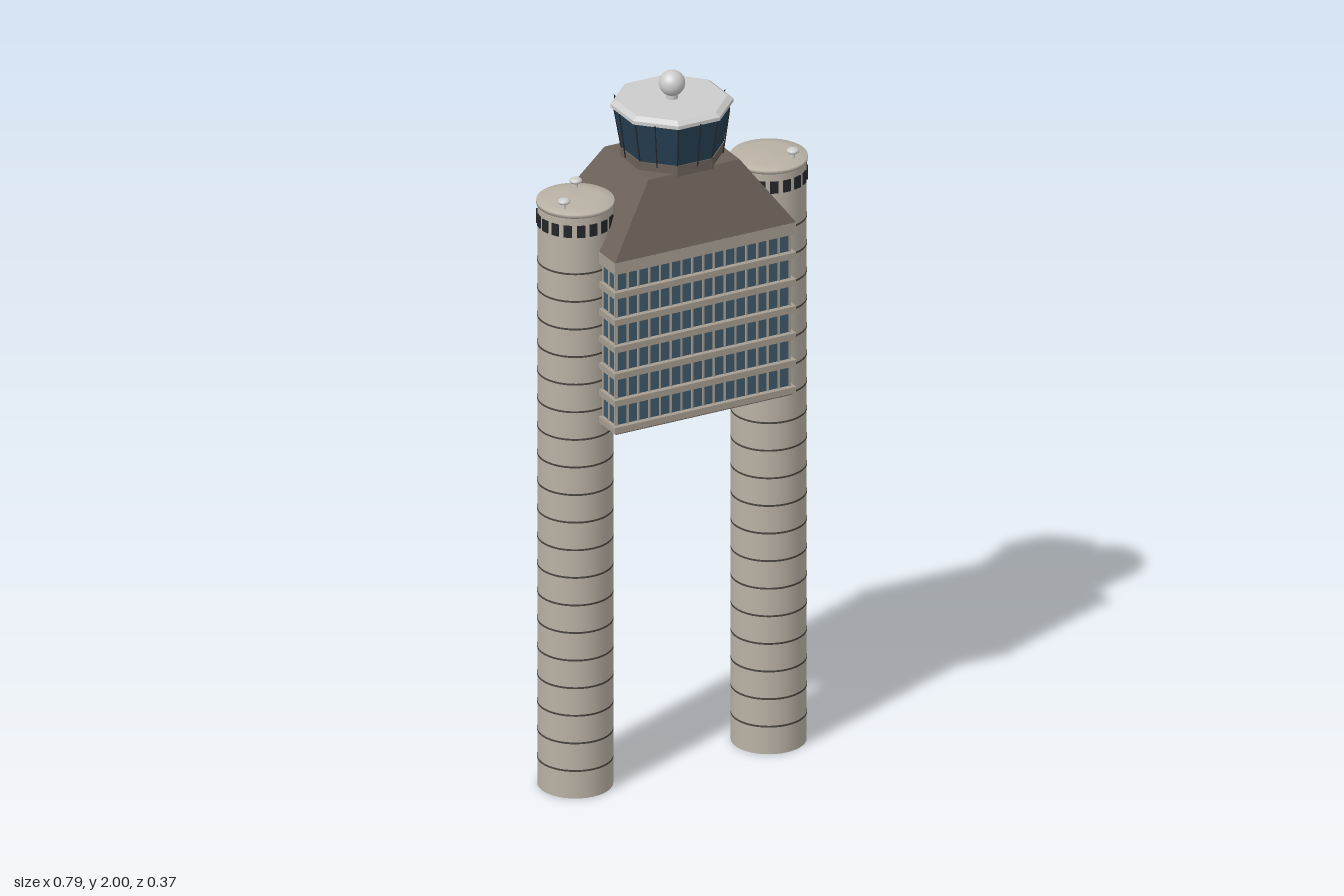
import * as THREE from 'three';

const mat = (color, flat = false) => new THREE.MeshStandardMaterial({ color, flatShading: flat });

export function createModel() {
  const root = new THREE.Group();
  const concrete = mat(0xb9b1a4), trim = mat(0xa59d90), seam = mat(0x4a4640), dark = mat(0x24262a);
  const brown = mat(0x6b6158, true), glass = mat(0x3f586c), cabGlass = mat(0x263f52, true);
  const grey = mat(0xcccccc), greyFlat = mat(0xcccccc, true);

  const add = (name, geo, material, x = 0, y = 0, z = 0, parent = root) => {
    const m = new THREE.Mesh(geo, material);
    m.name = name;
    m.position.set(x, y, z);
    parent.add(m);
    return m;
  };
  const box = (name, w, h, d, material, x, y, z, parent) =>
    add(name, new THREE.BoxGeometry(w, h, d), material, x, y, z, parent);
  // Octagonal frustum measured to its flat sides, from height y0 to y1
  const octagon = (name, bottom, top, y0, y1, material, parent) => {
    const k = 1 / Math.cos(Math.PI / 8);
    const geo = new THREE.CylinderGeometry(top * k, bottom * k, y1 - y0, 8).rotateY(Math.PI / 8);
    return add(name, geo, material, 0, (y0 + y1) / 2, 0, parent);
  };

  // Two round shafts with seams, a ring of windows and a shallow cap
  const R = 0.1;
  const knobs = { '-1': [[-0.258, -0.056], [-0.348, 0.044]], '1': [[0.333, 0.054]] };
  for (const side of [-1, 1]) {
    const shaft = new THREE.Group();
    shaft.name = side > 0 ? 'leftShaft' : 'rightShaft';
    shaft.position.x = side * 0.29;
    root.add(shaft);
    add('shaftWall', new THREE.CylinderGeometry(R, R, 1.69, 40), concrete, 0, 0.845, 0, shaft);
    for (let i = 1; i <= 19; i++) {
      add('shaftSeam', new THREE.CylinderGeometry(R + 0.001, R + 0.001, 0.005, 40), seam, 0, i * 0.08, 0, shaft);
    }
    const cap = [[0, 1.682], [0.103, 1.682], [0.103, 1.692], [0.07, 1.697], [0, 1.7]];
    add('shaftCap', new THREE.LatheGeometry(cap.map(p => new THREE.Vector2(...p)), 40), concrete, 0, 0, 0, shaft);
    const count = 18;
    for (let i = 0; i < count; i++) {
      const a = (i / count) * Math.PI * 2;
      const w = box('shaftWindow', 0.022, 0.034, 0.006, dark, Math.sin(a) * R, 1.643, Math.cos(a) * R, shaft);
      w.rotation.y = a;
    }
    for (const [x, z] of knobs[side]) {
      add('roofKnobStem', new THREE.CylinderGeometry(0.006, 0.006, 0.02, 10), grey, x, 1.704, z);
      add('roofKnob', new THREE.SphereGeometry(0.017, 16, 10).scale(1, 0.5, 1), grey, x, 1.716, z);
    }
  }

  // Office block: glass core, floor slabs and mullions
  const block = new THREE.Group();
  block.name = 'officeBlock';
  root.add(block);
  box('officeGlass', 0.52, 0.47, 0.338, glass, 0, 1.32, 0, block);
  box('underside', 0.53, 0.01, 0.354, brown, 0, 1.079, 0, block);
  for (let i = 0; i < 6; i++) {
    box('floorSlab', 0.544, 0.018, 0.368, trim, 0, 1.089 + i * 0.078, 0, block);
  }
  box('topSlab', 0.544, 0.034, 0.368, trim, 0, 1.558, 0, block);
  const nx = 16, nz = 10;
  for (const s of [-1, 1]) {
    for (let i = 0; i <= nx; i++) {
      box('mullion', 0.005, 0.47, 0.006, trim, -0.259 + (0.518 * i) / nx, 1.32, s * 0.17, block);
    }
    for (let i = 0; i <= nz; i++) {
      box('mullion', 0.006, 0.47, 0.005, trim, s * 0.261, 1.32, -0.168 + (0.336 * i) / nz, block);
    }
  }

  // Sloping roof: a box whose top corners are drawn inward
  const roofGeo = new THREE.BoxGeometry(0.544, 0.187, 0.368);
  const p = roofGeo.attributes.position;
  for (let i = 0; i < p.count; i++) {
    if (p.getY(i) > 0) {
      p.setX(i, Math.sign(p.getX(i)) * 0.137);
      p.setZ(i, Math.sign(p.getZ(i)) * 0.12);
    }
  }
  roofGeo.computeVertexNormals();
  add('slopingRoof', roofGeo, brown, 0, 1.668, 0);

  // Control cab with outward-leaning glass
  const cab = new THREE.Group();
  cab.name = 'controlCab';
  root.add(cab);
  octagon('cabBase', 0.127, 0.127, 1.755, 1.785, brown, cab);
  octagon('cabWindows', 0.124, 0.143, 1.785, 1.905, cabGlass, cab);
  octagon('cabRoofEdge', 0.15, 0.15, 1.902, 1.912, greyFlat, cab);
  octagon('cabRoof', 0.15, 0.136, 1.912, 1.922, greyFlat, cab);

  // Thin rod between two points given as radius and height, at angle a
  const rod = (name, a, r0, y0, r1, y1, thick, material) => {
    const at = (r, y) => new THREE.Vector3(Math.sin(a) * r, y, Math.cos(a) * r);
    const path = new THREE.LineCurve3(at(r0, y0), at(r1, y1));
    add(name, new THREE.TubeGeometry(path, 1, thick, 6), material, 0, 0, 0, cab);
  };
  const k = 1 / Math.cos(Math.PI / 8);
  for (let i = 0; i < 8; i++) {
    const a = (i * Math.PI) / 4;
    rod('cabMullion', a + Math.PI / 8, 0.124 * k, 1.785, 0.143 * k, 1.905, 0.002, dark);
    rod('cabStrut', a, 0.14, 1.78, 0.158, 1.91, 0.0018, dark);
  }

  // Radar ball on a short post
  add('radarPost', new THREE.CylinderGeometry(0.016, 0.016, 0.02, 16), grey, 0, 1.93, 0);
  add('radarBall', new THREE.SphereGeometry(0.035, 28, 18), grey, 0, 1.965, 0);

  return root;
}
